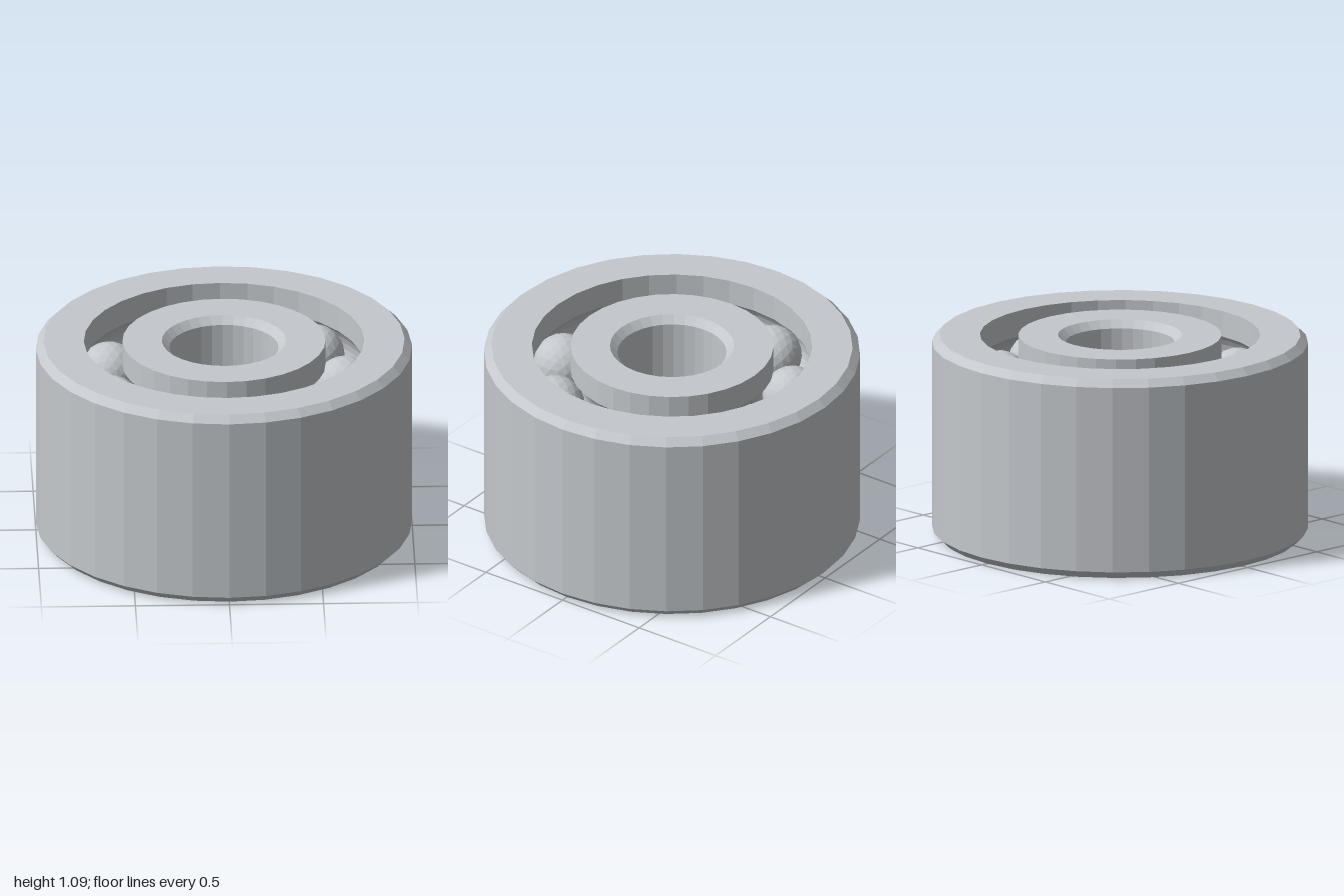
import * as THREE from 'three';

const HEIGHT = 1.09, CHAMFER = 0.04, SEGMENTS = 32;
const PITCH = 0.643;          // radius of the circle of ball centres
const BALL = 0.16, GROOVE = 0.165;
const ROWS = [0.27, 0.82];    // heights of the two ball rows
const BALLS_PER_ROW = 9;

// Points of one raceway groove cut into a wall at radius wallR, listed upwards
function groove(wallR, rowY, steps = 8) {
  const side = Math.sign(wallR - PITCH);
  const half = Math.acos(Math.abs(wallR - PITCH) / GROOVE);
  return Array.from({ length: steps + 1 }, (_, i) => {
    const a = -half + (2 * half * i) / steps;
    return [PITCH + side * GROOVE * Math.cos(a), rowY + GROOVE * Math.sin(a)];
  });
}

function ring(name, profile, material) {
  const points = profile.map(([r, y]) => new THREE.Vector2(r, y));
  points.push(points[0].clone());
  const mesh = new THREE.Mesh(new THREE.LatheGeometry(points, SEGMENTS), material);
  mesh.name = name;
  return mesh;
}

export function createModel() {
  const group = new THREE.Group();
  group.name = 'ballBearing';
  const steel = new THREE.MeshStandardMaterial({ color: 0xc4c8cc });
  steel.name = 'steel';
  steel.flatShading = true;

  // Outer ring: chamfered outside, two grooves on the inner wall
  const outerWall = 0.745;
  group.add(ring('outerRing', [
    [outerWall, 0], [1 - CHAMFER, 0], [1, CHAMFER],
    [1, HEIGHT - CHAMFER], [1 - CHAMFER, HEIGHT], [outerWall, HEIGHT],
    ...ROWS.flatMap((y) => groove(outerWall, y)).reverse(),
  ], steel));

  // Inner ring: two grooves on the outer wall, chamfered bore
  const innerWall = 0.54, bore = 0.29;
  group.add(ring('innerRing', [
    [bore + CHAMFER, 0], [innerWall, 0],
    ...ROWS.flatMap((y) => groove(innerWall, y)),
    [innerWall, HEIGHT], [bore + CHAMFER, HEIGHT],
    [bore, HEIGHT - CHAMFER], [bore, CHAMFER],
  ], steel));

  // Two rows of balls running in the grooves
  const ballGeometry = new THREE.IcosahedronGeometry(BALL, 3);
  ROWS.forEach((y, row) => {
    const balls = new THREE.Group();
    balls.name = row === 0 ? 'lowerBalls' : 'upperBalls';
    for (let i = 0; i < BALLS_PER_ROW; i++) {
      const a = (i / BALLS_PER_ROW) * Math.PI * 2;
      const ball = new THREE.Mesh(ballGeometry, steel);
      ball.name = 'ball';
      ball.position.set(PITCH * Math.cos(a), y, PITCH * Math.sin(a));
      balls.add(ball);
    }
    group.add(balls);
  });

  return group;
}
